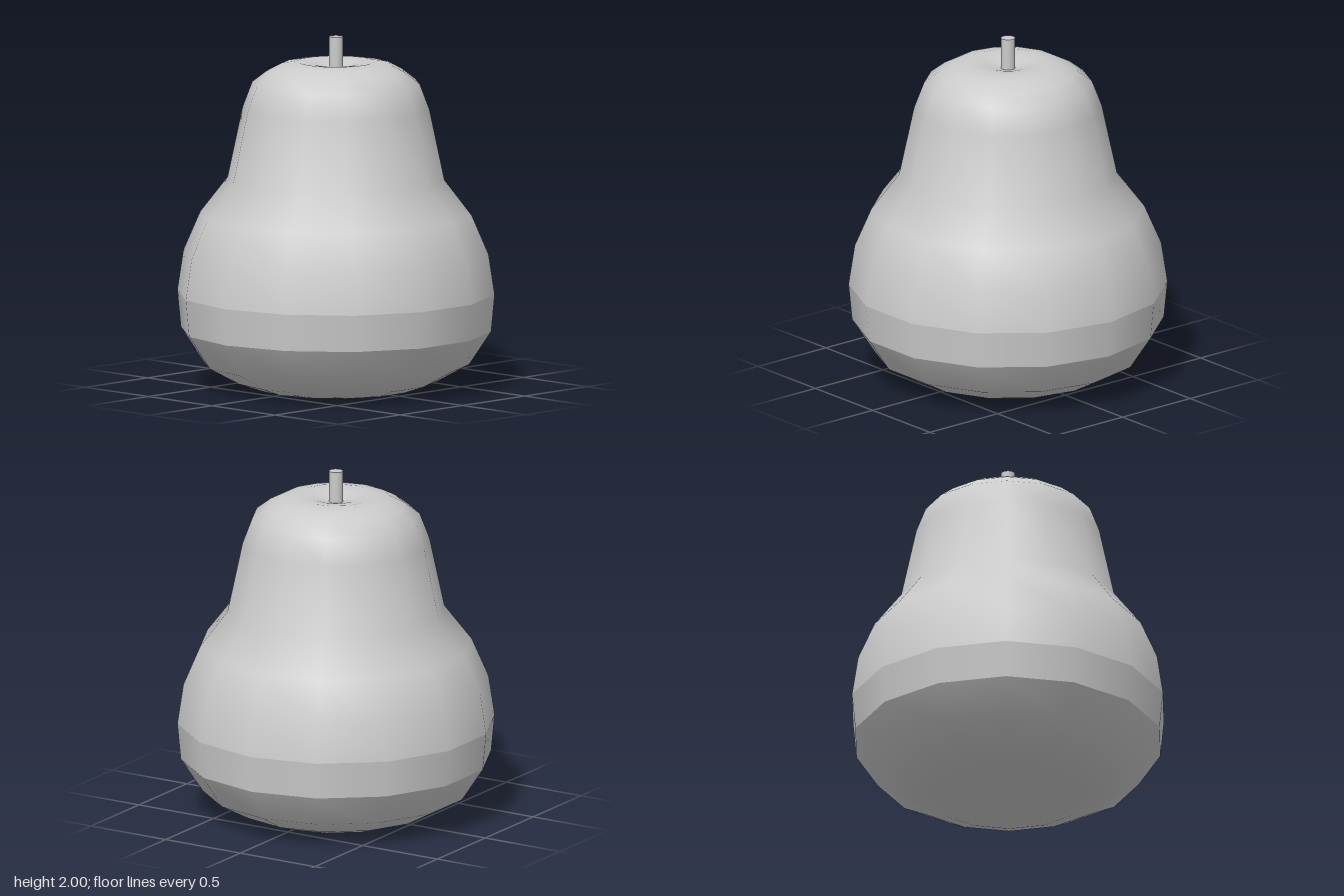
import * as THREE from 'three';

const SIDES = 14;

export function createModel() {
  const group = new THREE.Group();
  group.name = 'pear';
  const material = new THREE.MeshStandardMaterial({ color: 0xcccccc, roughness: 0.8 });

  // Turned section of the fruit, with a corner of the polygon on +x
  const turned = (name, profile) => {
    const points = profile.map(([r, y]) => new THREE.Vector2(r, y));
    const mesh = new THREE.Mesh(
      new THREE.LatheGeometry(points, SIDES, Math.PI / 2), material);
    mesh.name = name;
    group.add(mesh);
  };

  // Underside with a shallow hollow, curving up to the widest part
  turned('base', [
    [0, 0.04], [0.3, 0.02], [0.45, 0], [0.58, 0.045], [0.755, 0.14], [0.88, 0.33],
  ]);

  // Near-vertical band, separate so that its edges stay crisp
  turned('belly', [[0.88, 0.33], [0.9, 0.54]]);

  // Shoulder, neck and rounded top with a dimple for the stem
  turned('neck', [
    [0.9, 0.54], [0.865, 0.77], [0.77, 0.99], [0.615, 1.19], [0.53, 1.59],
    [0.475, 1.735], [0.39, 1.8], [0.31, 1.842], [0.22, 1.857], [0.13, 1.845], [0, 1.81],
  ]);

  // Stem, rooted in the dimple
  const stem = new THREE.Mesh(new THREE.CylinderGeometry(0.04, 0.04, 0.2, 20), material);
  stem.name = 'stem';
  stem.position.y = 1.9;
  group.add(stem);

  return group;
}
